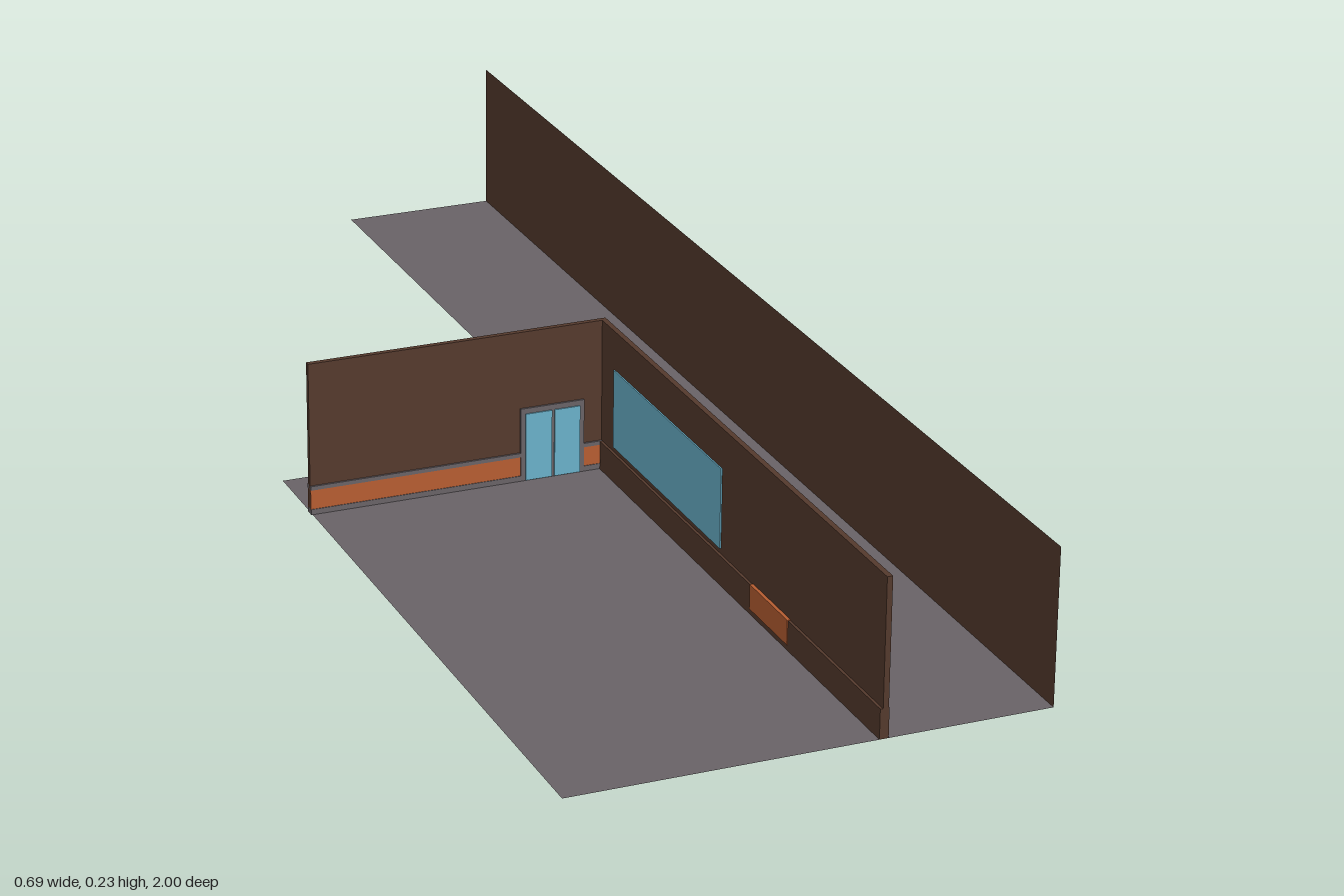
import * as THREE from 'three';

export function createModel() {
  const model = new THREE.Group();
  const mat = (name, color, side = THREE.FrontSide) =>
    Object.assign(new THREE.MeshStandardMaterial({ color, side }), { name });
  const brown = mat('brown wall', 0x553a2d, THREE.DoubleSide);
  const grey = mat('grey trim and floor', 0x6a6468, THREE.DoubleSide);
  const orange = mat('orange band', 0xb85e32);
  const blue = mat('blue glass', 0x6bb3cc);

  const add = (name, geometry, material) => {
    const mesh = new THREE.Mesh(geometry, material);
    mesh.name = name;
    model.add(mesh);
    return mesh;
  };
  // Box given by its lower and upper limits on each axis
  const box = (name, material, [x0, x1], [y0, y1], [z0, z1]) =>
    add(name, new THREE.BoxGeometry(x1 - x0, y1 - y0, z1 - z0), material)
      .position.set((x0 + x1) / 2, (y0 + y1) / 2, (z0 + z1) / 2);

  const H = 0.227;

  // L-shaped floor sheet, drawn as (x, -z)
  const outline = [[-0.343, -1], [0.34, -1], [0.34, 1], [0.105, 1], [0.105, 0.05], [-0.343, 0.05]];
  const floor = new THREE.ShapeGeometry(new THREE.Shape(outline.map(p => new THREE.Vector2(...p))));
  add('floor', floor.rotateX(-Math.PI / 2), grey);

  // Long outer wall, a thin sheet
  const sheet = new THREE.PlaneGeometry(2, H).rotateY(Math.PI / 2).translate(0.34, H / 2, 0);
  add('longWall', sheet, brown);

  // Back wall with a banded base on both faces
  box('backWall', brown, [-0.345, 0.104], [0, H], [0.066, 0.074]);
  for (const [x0, x1] of [[-0.345, -0.029], [0.068, 0.104]]) {
    box('baseTrim', grey, [x0, x1], [0, 0.008], [0.063, 0.077]);
    box('baseBand', orange, [x0, x1], [0.008, 0.037], [0.064, 0.076]);
    box('railTrim', grey, [x0, x1], [0.037, 0.043], [0.063, 0.077]);
  }

  // Double door in a deep frame that stands out behind the back wall
  box('doorBox', grey, [-0.029, 0.068], [0, 0.111], [0.035, 0.077]);
  box('leftDoor', blue, [0.022, 0.061], [0.001, 0.103], [0.076, 0.079]);
  box('rightDoor', blue, [-0.022, 0.018], [0.001, 0.103], [0.076, 0.079]);

  // Side wall with its skirting
  box('sideWall', brown, [0.096, 0.104], [0, H], [0.066, 1]);
  box('skirting', brown, [0.092, 0.105], [0, 0.043], [0.078, 1]);
  box('skirtingPatch', orange, [0.091, 0.1], [0.008, 0.044], [0.6, 0.72]);

  // Wide window: raised frame on the corridor side, glass on both faces
  const [y0, y1, z0, z1, t] = [0.045, 0.175, 0.115, 0.5, 0.006];
  box('windowFrameBottom', brown, [0.104, 0.119], [y0, y0 + t], [z0, z1]);
  box('windowFrameTop', brown, [0.104, 0.119], [y1 - t, y1], [z0, z1]);
  box('windowFrameBack', brown, [0.104, 0.119], [y0 + t, y1 - t], [z0, z0 + t]);
  box('windowFrameFront', brown, [0.104, 0.119], [y0 + t, y1 - t], [z1 - t, z1]);
  box('outerGlass', blue, [0.104, 0.112], [y0 + t, y1 - t], [z0 + t, z1 - t]);
  box('innerGlass', blue, [0.094, 0.097], [y0 + t, y1 - t], [z0 + t, z1 - t]);

  return model;
}
